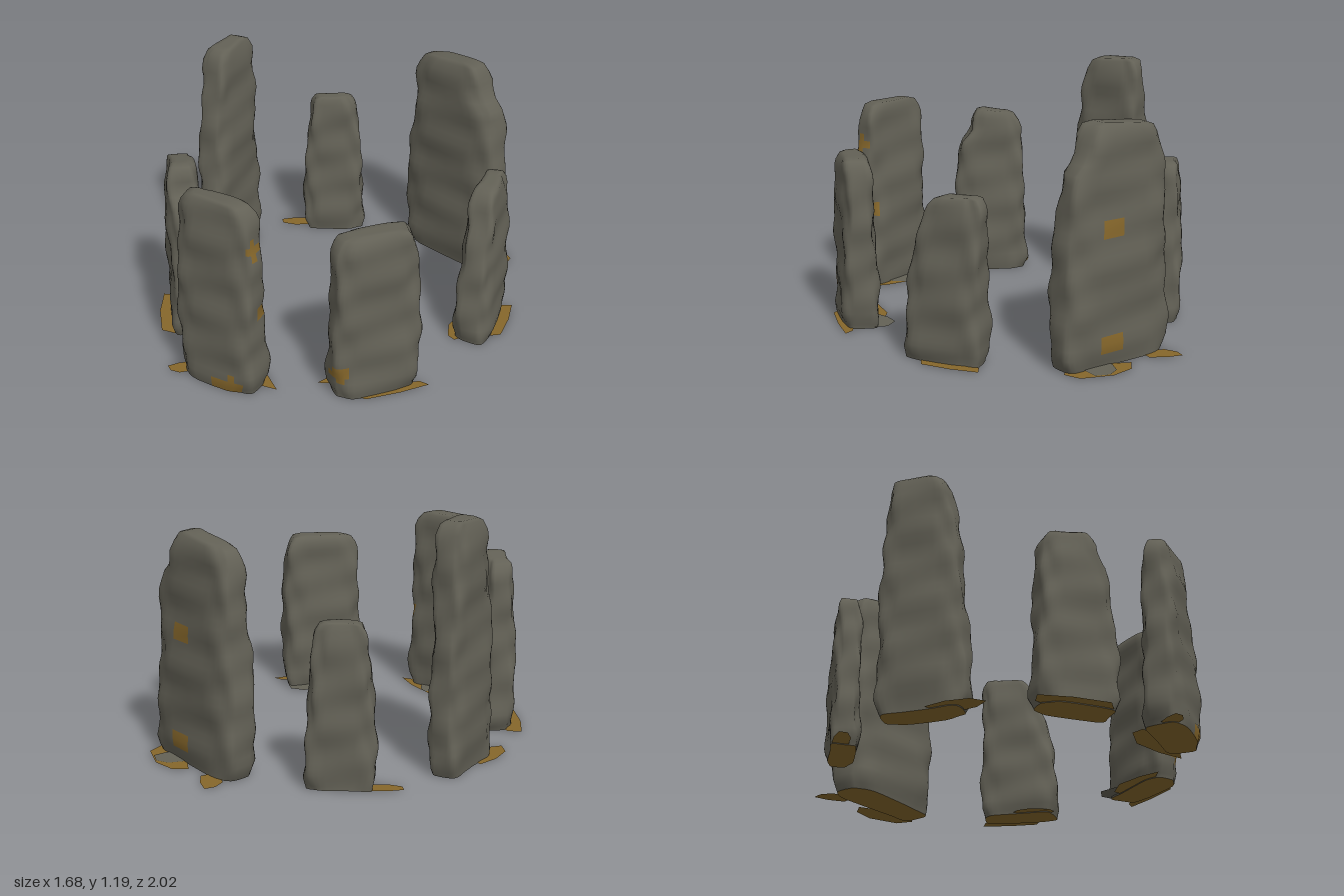
import * as THREE from 'three';

const SEGS = 36, RINGS = 26;

const stoneMat = new THREE.MeshStandardMaterial({ color: 0x636156, side: THREE.DoubleSide });
stoneMat.name = 'weathered stone';
const earthMat = new THREE.MeshStandardMaterial({ color: 0x86672b, side: THREE.DoubleSide });
earthMat.name = 'ochre earth';

const { lerp, smoothstep } = THREE.MathUtils;

// Weathered upright slab along local x: stacked rounded-box rings with soft dents.
// foot and top are [start, end, half thickness]; shoulder is [height, cut].
function slabGeometry({ height, foot, top, slope, shoulder = [0, 0], stains = [], seed }) {
  const pos = [], stone = [], earth = [];
  const round = (v) => Math.sign(v) * Math.pow(Math.abs(v), 0.5);

  const addRing = (s, cap = 1) => {
    const y = s * height;
    const taper = s * s;
    const start = lerp(foot[0], top[0], taper);
    const end = lerp(foot[1], top[1], taper)
      - shoulder[1] * smoothstep(y, shoulder[0] - 0.04, shoulder[0] + 0.05);
    const half = lerp(foot[2], top[2], taper);
    // narrower right at the ground and rounded at the crown
    const fit = cap * (1 - 0.1 * (1 - smoothstep(y, 0, 0.06)))
      * (1 - 0.16 * Math.pow(Math.max(0, (s - 0.92) / 0.08), 2));
    for (let j = 0; j < SEGS; j++) {
      const t = (j / SEGS) * Math.PI * 2;
      const dent = 0.006 * Math.sin(3 * t + 9 * y + seed * 2.1)
        + 0.005 * Math.sin(5 * t - 17 * y + seed * 4.7)
        + 0.004 * Math.sin(2 * t + 34 * y + seed);
      const u = (start + end) / 2 + round(Math.cos(t)) * ((end - start) / 2 + dent) * fit;
      const w = round(Math.sin(t)) * (half + dent) * fit;
      pos.push(u, y + slope * u * Math.pow(s, 5), w);
    }
  };
  addRing(0);
  addRing(0.025);
  for (let i = 1; i <= RINGS; i++) addRing(lerp(0.025, 1, i / RINGS));
  for (const cap of [0.8, 0.4, 0.001]) addRing(1.012, cap);

  // side and crown faces, ochre where a stain lies
  const quads = pos.length / 3 - SEGS;
  for (let a = 0; a < quads; a++) {
    const b = a % SEGS === SEGS - 1 ? a - SEGS + 1 : a + 1;
    const [x, y, z] = pos.slice(a * 3, a * 3 + 3);
    const stained = stains.some(([u, v, w]) => Math.hypot(x - u, y - v, z - w) < 0.045);
    (stained ? earth : stone).push(a, a + SEGS, b, b, a + SEGS, b + SEGS);
  }
  // earthy underside with its own vertices for a crisp edge
  const base = pos.length / 3;
  pos.push(...pos.slice(0, SEGS * 3), 0, 0, 0);
  for (let j = 0; j < SEGS; j++) earth.push(base + SEGS, base + j, base + (j + 1) % SEGS);

  const geo = new THREE.BufferGeometry();
  geo.setAttribute('position', new THREE.Float32BufferAttribute(pos, 3));
  geo.setIndex([...stone, ...earth]);
  geo.addGroup(0, stone.length, 0);
  geo.addGroup(stone.length, earth.length, 1);
  geo.computeVertexNormals();
  return geo;
}

// Thin ragged sheet lying at the foot of a stone
function groundSheet([u, w, length, width, turn], material, name, y) {
  const shape = new THREE.Shape();
  for (let i = 0; i < 7; i++) {
    const t = (i / 7) * Math.PI * 2;
    const r = 0.55 + 0.07 * Math.sin(i * 2.6 + u * 40);
    shape.lineTo(Math.cos(t) * length * r, Math.sin(t) * width * r);
  }
  // drop the implicit first corner at the origin
  const points = shape.getPoints().slice(1);
  const geo = new THREE.ShapeGeometry(new THREE.Shape(points));
  geo.rotateX(Math.PI / 2);
  const mesh = new THREE.Mesh(geo, material);
  mesh.name = name;
  mesh.position.set(u, y, w);
  mesh.rotation.y = -THREE.MathUtils.degToRad(turn);
  return mesh;
}

// One stone with its earth, placed on the ring; yaw turns its long side from x towards z
function standingStone(name, x, z, yaw, spec) {
  const group = new THREE.Group();
  group.name = name;
  group.position.set(x, 0, z);
  group.rotation.y = -THREE.MathUtils.degToRad(yaw);
  const slab = new THREE.Mesh(slabGeometry(spec), [stoneMat, earthMat]);
  slab.name = 'slab';
  group.add(slab);
  for (const sheet of spec.earth) group.add(groundSheet(sheet, earthMat, 'earthEdge', 0.004));
  if (spec.grit) group.add(groundSheet(spec.grit, stoneMat, 'stoneEdge', 0.008));
  return group;
}

export function createModel() {
  const circle = new THREE.Group();
  circle.name = 'stoneCircle';

  circle.add(standingStone('backStone', 0.18, -0.78, 7, {
    height: 1.09, foot: [-0.31, 0.31, 0.105], top: [-0.26, 0.22, 0.075], slope: 0.1, shoulder: [0.91, 0.06],
    stains: [[0.03, 0.62, -0.1], [0.03, 0.1, -0.1]], seed: 1,
    earth: [[-0.217, -0.13, 0.17, 0.1, 35], [0.148, -0.11, 0.32, 0.15, 18]], grit: [0.14, -0.11, 0.14, 0.15, 18],
  }));
  circle.add(standingStone('rightStone', 0.71, -0.28, 71, {
    height: 0.76, foot: [-0.19, 0.21, 0.09], top: [-0.19, 0.07, 0.06], slope: -0.06, seed: 2,
    earth: [[-0.046, -0.08, 0.3, 0.1, 0], [0.096, 0.087, 0.2, 0.08, -10]],
  }));
  circle.add(standingStone('frontRightStone', 0.64, 0.46, 121, {
    height: 0.815, foot: [-0.21, 0.215, 0.09], top: [-0.185, 0.19, 0.068], slope: -0.03,
    stains: [[0.175, 0.12, -0.06]], seed: 3,
    earth: [[0.052, 0.086, 0.32, 0.11, 0], [-0.053, -0.07, 0.34, 0.08, 0]], grit: [-0.11, 0.09, 0.18, 0.13, 0],
  }));
  circle.add(standingStone('frontStone', 0.07, 0.865, -7, {
    height: 0.945, foot: [-0.215, 0.215, 0.095], top: [-0.2, 0.19, 0.055], slope: 0.02,
    stains: [[0.12, 0.02, 0.085], [0.2, 0.73, 0], [0.2, 0.4, -0.07]], seed: 4,
    earth: [[0.04, -0.09, 0.38, 0.13, 12], [-0.208, 0.06, 0.12, 0.08, -43]], grit: [0.04, -0.1, 0.12, 0.12, 12],
  }));
  circle.add(standingStone('frontLeftStone', -0.43, 0.61, 40, {
    height: 0.86, foot: [-0.185, 0.205, 0.09], top: [-0.14, 0.15, 0.07], slope: 0.14, shoulder: [0.72, 0.05], seed: 5,
    earth: [[-0.02, 0.075, 0.36, 0.14, 0]],
  }));
  circle.add(standingStone('leftStone', -0.71, 0.02, 78, {
    height: 1.175, foot: [-0.215, 0.21, 0.08], top: [-0.18, 0.105, 0.074], slope: -0.04, seed: 6,
    earth: [[0.17, 0.06, 0.24, 0.12, 2]],
  }));
  circle.add(standingStone('backLeftStone', -0.49, -0.565, -41, {
    height: 0.77, foot: [-0.16, 0.165, 0.07], top: [-0.115, 0.105, 0.052], slope: 0.02, seed: 7,
    earth: [[-0.196, -0.02, 0.17, 0.08, 0]],
  }));
  return circle;
}
